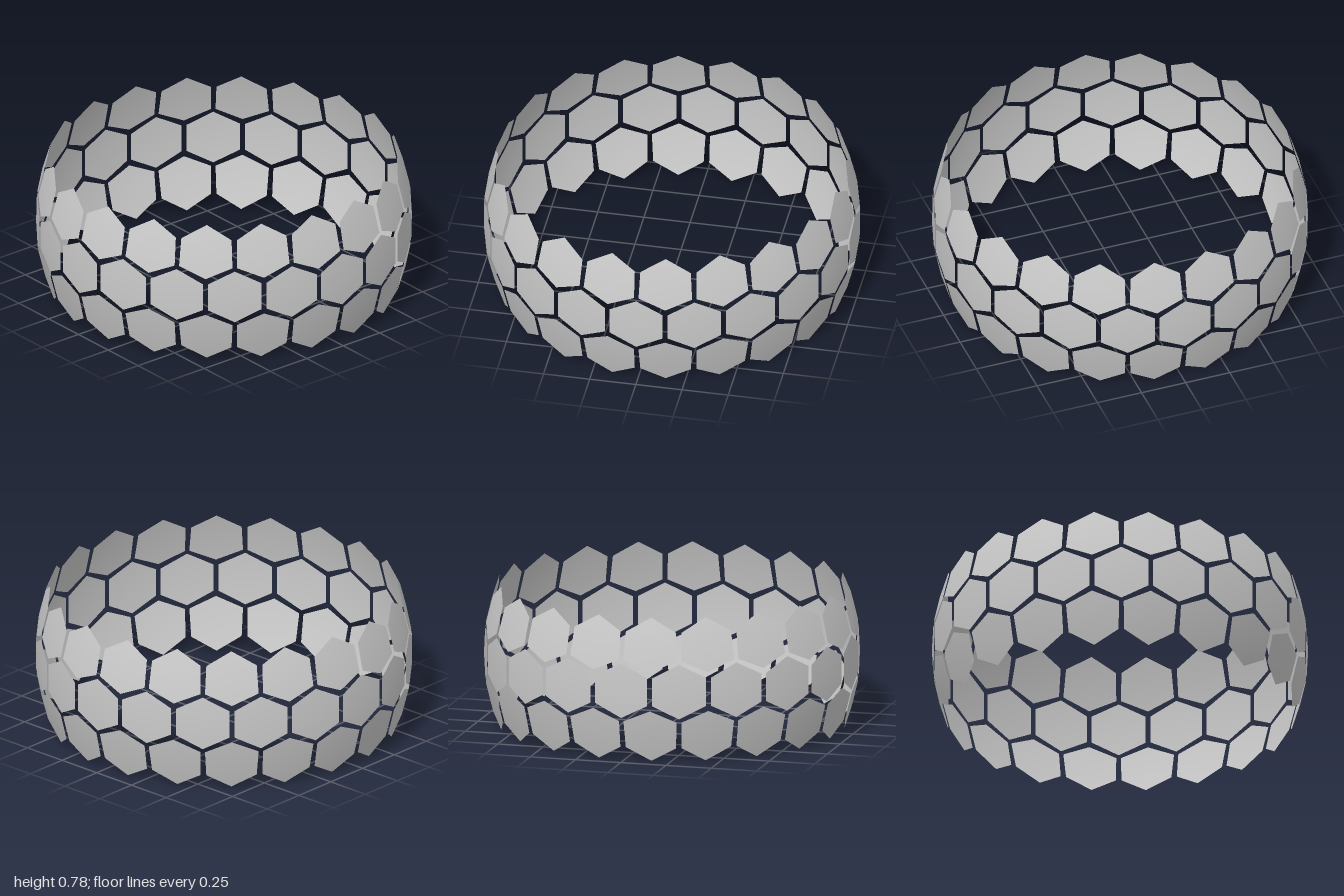
import * as THREE from 'three';

const RADIUS = 1.003;   // tile corners lie on this sphere
const CENTRE = 1.0;     // tile centres
const MID_Y = 0.39;
const COUNT = 20;
const STEP = (Math.PI * 2) / COUNT;
const deg = THREE.MathUtils.degToRad;

// Point on a sphere at a given height and longitude (0 = front).
function onSphere(r, y, lon) {
  const ring = Math.sqrt(r * r - y * y);
  return [Math.sin(lon) * ring, y, Math.cos(lon) * ring];
}

// Hexagonal tile as a fan; corners are [longitude in degrees, height].
function hexGeometry(corners, centreY) {
  const points = [onSphere(CENTRE, centreY, 0)];
  const index = [];
  corners.forEach(([lon, y], i) => {
    points.push(onSphere(RADIUS, y, deg(lon)));
    index.push(0, 1 + i, 1 + ((i + 1) % corners.length));
  });
  const geometry = new THREE.BufferGeometry();
  geometry.setAttribute('position', new THREE.Float32BufferAttribute(points.flat(), 3));
  geometry.setIndex(index);
  geometry.computeVertexNormals();
  return geometry;
}

export function createModel() {
  const model = new THREE.Group();
  model.name = 'hexTileBand';
  const material = new THREE.MeshStandardMaterial({ color: 0xcccccc, side: THREE.DoubleSide });

  // Corners run counter-clockwise as seen from outside.
  const middle = [[0, -0.149], [8.25, -0.076], [8.25, 0.076], [0, 0.149], [-8.25, 0.076], [-8.25, -0.076]];
  const upper = [[0, 0.105], [8.3, 0.167], [8.1, 0.315], [0, 0.39], [-8.1, 0.315], [-8.3, 0.167]];
  const lower = upper.map(([lon, y]) => [-lon, -y]);

  // Outer rows are staggered half a tile against the middle row.
  const rows = [
    { name: 'lowerRow', corners: lower, centre: -0.243, shift: 0.5 },
    { name: 'middleRow', corners: middle, centre: 0, shift: 0 },
    { name: 'upperRow', corners: upper, centre: 0.243, shift: 0.5 },
  ];

  for (const { name, corners, centre, shift } of rows) {
    const row = new THREE.Group();
    row.name = name;
    row.position.y = MID_Y;
    const geometry = hexGeometry(corners, centre);
    for (let i = 0; i < COUNT; i++) {
      const tile = new THREE.Mesh(geometry, material);
      tile.name = 'hexTile';
      tile.rotation.y = (i + shift) * STEP;
      row.add(tile);
    }
    model.add(row);
  }
  return model;
}
